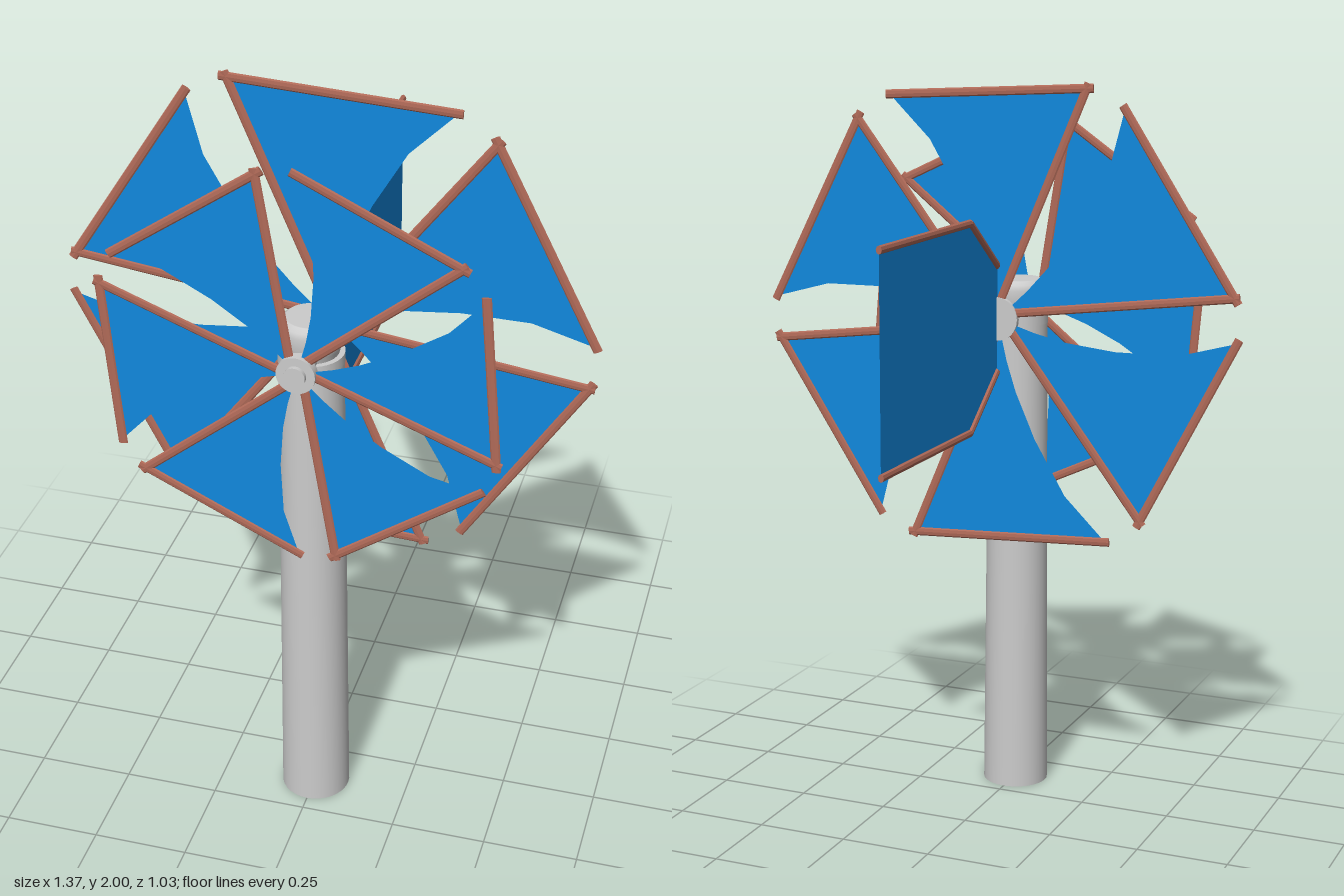
import * as THREE from 'three';

const grey = new THREE.MeshStandardMaterial({ color: 0xcccccc, side: THREE.DoubleSide });
const blue = new THREE.MeshStandardMaterial({ color: 0x1188dd, side: THREE.DoubleSide });
const brown = new THREE.MeshStandardMaterial({ color: 0xb06a58, flatShading: true });

const AXIS_Y = 1.365; // height of the rotor shaft
const TOWER_Z = 0.37;

function add(parent, name, geometry, material) {
  const mesh = new THREE.Mesh(geometry, material);
  mesh.name = name;
  parent.add(mesh);
  return mesh;
}

// Thin sheet from a list of [x, y] corners
function sheet(points) {
  return new THREE.ShapeGeometry(new THREE.Shape(points.map(([x, y]) => new THREE.Vector2(x, y))));
}

// Flattened rod lying in the xy plane between two points
function rod([ax, ay], [bx, by], width, thickness) {
  const g = new THREE.CylinderGeometry(1, 1, Math.hypot(bx - ax, by - ay), 8);
  g.scale(width / 2, 1, thickness / 2);
  g.rotateZ(Math.atan2(by - ay, bx - ax) - Math.PI / 2);
  g.translate((ax + bx) / 2, (ay + by) / 2, 0);
  return g;
}

// Cylinder along z between two depths
function disc(radius, z0, z1) {
  return new THREE.CylinderGeometry(radius, radius, z1 - z0, 32)
    .rotateX(Math.PI / 2).translate(0, AXIS_Y, (z0 + z1) / 2);
}

// One blade: straight framed spar along +x, framed outer edge, bent free edge
function createBlade(r, dir) {
  const polar = (k, deg) => {
    const a = THREE.MathUtils.degToRad(deg) * dir;
    return [k * r * Math.cos(a), k * r * Math.sin(a)];
  };
  const blade = new THREE.Group();
  blade.name = 'blade';
  const tip = polar(1, 0), freeTip = polar(1, 51.4);
  add(blade, 'bladePanel', sheet([
    [0, 0], tip, freeTip, polar(0.75, 45.5), polar(0.5, 41.5), polar(0.3, 38), polar(0.17, 36),
  ]), blue);

  const w = 0.024, t = 0.008;
  add(blade, 'sparFrame', rod([0.02, dir * w / 2], [r - 0.005, dir * w / 2], w, t), brown);
  const inset = ([x, y]) => {
    const [nx, ny] = polar(1 / r, 25.7);
    return [x - nx * w / 2, y - ny * w / 2];
  };
  add(blade, 'outerFrame', rod(inset(tip), inset(freeTip), w, t), brown);
  return blade;
}

function createRotor(name, r, dir, startDeg, z) {
  const rotor = new THREE.Group();
  rotor.name = name;
  rotor.position.set(0, AXIS_Y, z);
  for (let i = 0; i < 6; i++) {
    const blade = createBlade(r, dir);
    blade.rotation.z = THREE.MathUtils.degToRad(startDeg + i * 60);
    rotor.add(blade);
  }
  return rotor;
}

function createTail() {
  const tail = new THREE.Group();
  tail.name = 'tailVane';
  const half = [[-0.22, 0.15], [-0.035, 0.285], [0.515, 0.285]];
  const lower = half.map(([u, v]) => [u, -v]);
  add(tail, 'tailPanel', sheet([...half, ...lower.reverse()]), blue);
  for (const s of [1, -1]) {
    for (let i = 0; i < 2; i++) {
      const edge = [half[i], half[i + 1]].map(([u, v]) => [u, s * (v - 0.006)]);
      add(tail, 'tailFrame', rod(edge[0], edge[1], 0.022, 0.016), brown);
    }
  }
  tail.rotation.y = Math.PI / 2; // local +x runs towards the back
  tail.position.set(0, AXIS_Y, 0);
  return tail;
}

export function createModel() {
  const model = new THREE.Group();
  model.name = 'windmill';

  // Tapered tower and rounded head cap
  const tower = add(model, 'tower', new THREE.CylinderGeometry(0.081, 0.091, 1.335, 32), grey);
  tower.position.set(0, 0.6675, TOWER_Z);
  const collar = add(model, 'towerCollar', new THREE.CylinderGeometry(0.083, 0.083, 0.027, 32), grey);
  collar.position.set(0, 1.347, TOWER_Z);
  const profile = [[0.068, 1.355], [0.073, 1.375], [0.081, 1.395], [0.081, 1.43], [0.076, 1.445], [0.063, 1.455], [0.062, 1.456], [0, 1.456]];
  const cap = add(model, 'headCap',
    new THREE.LatheGeometry(profile.map(([x, y]) => new THREE.Vector2(x, y)), 32), grey);
  cap.position.z = TOWER_Z;

  // Shaft and hubs
  add(model, 'shaft', disc(0.032, 0.215, 0.5), grey);
  add(model, 'frontHub', disc(0.049, 0.482, 0.507), grey);
  add(model, 'frontHubNut', disc(0.027, 0.5, 0.518), grey);
  add(model, 'rearHub', disc(0.059, 0.215, 0.229), grey);

  // Two counter-facing rotors and the tail vane
  model.add(createRotor('frontRotor', 0.54, 1, 39, 0.495));
  model.add(createRotor('rearRotor', 0.687, -1, 112.8, 0.222));
  model.add(createTail());
  return model;
}
